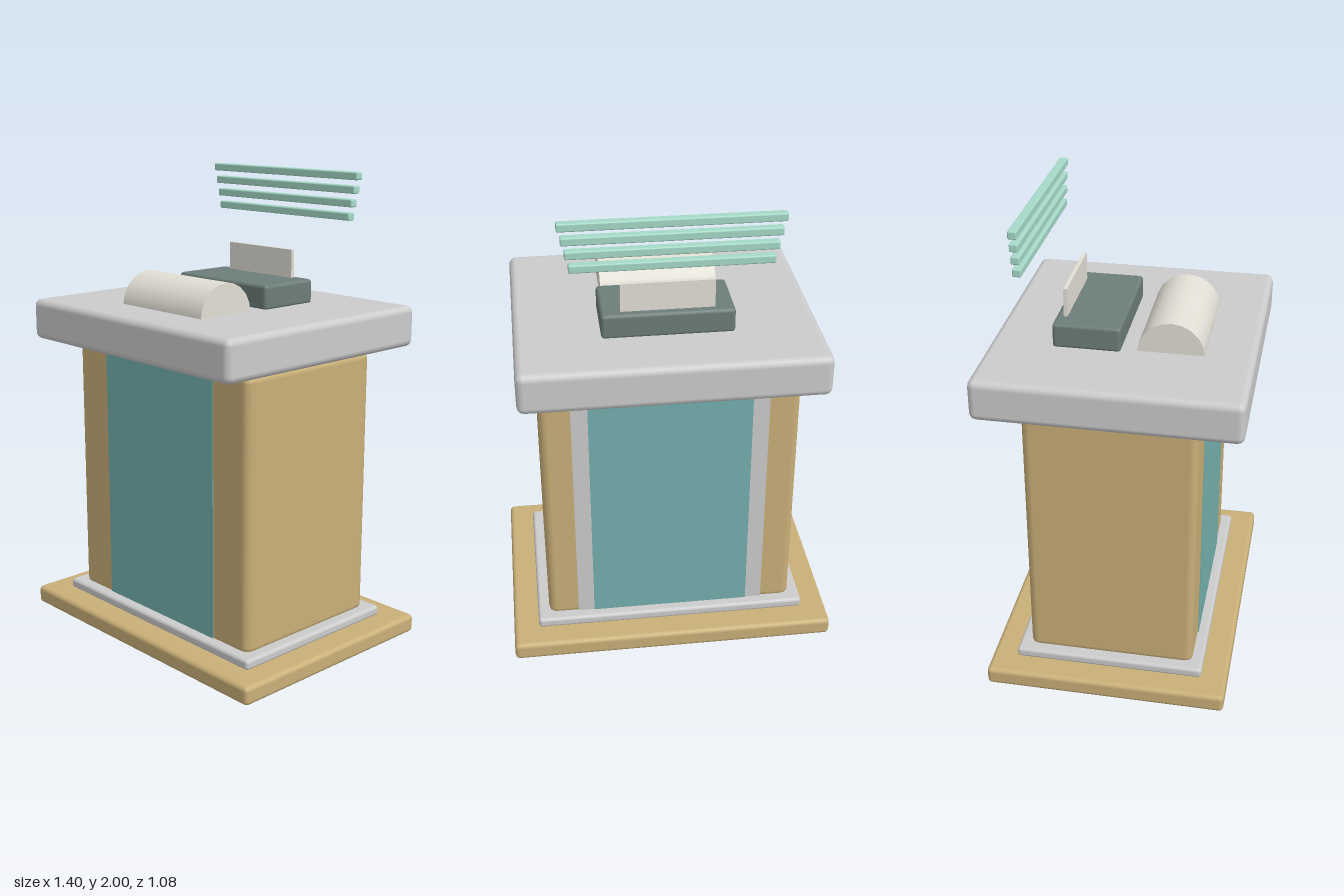
import * as THREE from 'three';
import { RoundedBoxGeometry } from 'three/addons/geometries/RoundedBoxGeometry.js';

const material = (color) => new THREE.MeshStandardMaterial({ color });
const tan = material(0xc9af78);
const grey = material(0xcccccc);
const teal = material(0x74b0ae);
const mint = material(0xa6dac8);
const slate = material(0x6c7d79);
const cream = material(0xe2dfd5);

export function createModel() {
  const model = new THREE.Group();
  model.name = 'kiosk';

  // Adds a box from its min and max corners; a radius rounds its edges
  function box(name, mat, [x0, y0, z0], [x1, y1, z1], radius = 0) {
    const size = [x1 - x0, y1 - y0, z1 - z0];
    const geometry = radius
      ? new RoundedBoxGeometry(...size, 2, radius)
      : new THREE.BoxGeometry(...size);
    const mesh = new THREE.Mesh(geometry, mat);
    mesh.name = name;
    mesh.position.set((x0 + x1) / 2, (y0 + y1) / 2, (z0 + z1) / 2);
    model.add(mesh);
    return mesh;
  }

  // Floor slab and plinth
  box('base', tan, [-0.7, 0, -0.515], [0.7, 0.08, 0.515], 0.02);
  box('plinth', grey, [-0.59, 0.075, -0.405], [0.59, 0.12, 0.405], 0.015);

  // Cabinet with its front and back panels
  box('cabinet', tan, [-0.54, 0.1, -0.355], [0.54, 1.27, 0.358], 0.035);
  box('frontPanel', teal, [-0.34, 0.115, 0.35], [0.34, 1.265, 0.361]);
  box('backFrame', grey, [-0.41, 0.115, -0.358], [0.41, 1.265, -0.35]);
  box('backPanel', teal, [-0.34, 0.115, -0.361], [0.34, 1.265, -0.35]);

  // Countertop with a dark plate beneath
  box('countertop', grey, [-0.62, 1.275, -0.54], [0.62, 1.45, 0.54], 0.03);
  box('underPlate', slate, [-0.55, 1.268, -0.47], [0.55, 1.29, 0.47]);

  // Half-round roll lying across the counter
  const roll = new THREE.Mesh(new THREE.CylinderGeometry(0.137, 0.137, 0.49, 20), cream);
  roll.name = 'roll';
  roll.rotation.z = Math.PI / 2;
  roll.position.set(0, 1.444, 0.2);
  model.add(roll);

  // Printer and the sheet standing in it
  box('printer', slate, [-0.27, 1.445, -0.28], [0.27, 1.55, 0], 0.015);
  box('sheet', cream, [-0.19, 1.54, -0.248], [0.19, 1.67, -0.232]);

  // Floating bars, wider towards the top
  for (let i = 0; i < 4; i++) {
    const half = 0.394 + i * 0.013;
    const y = 1.798 + i * 0.0563;
    box('bar' + (i + 1), mint, [-half, y, -0.396], [half, y + 0.033, -0.36], 0.006);
  }

  // Row of small tabs under the counter at the back
  for (let i = 0; i < 6; i++) {
    const x = 0.305 - i * 0.09;
    box('tab' + (i + 1), mint, [x - 0.032, 1.203, -0.386], [x + 0.032, 1.27, -0.348], 0.006);
  }

  return model;
}
